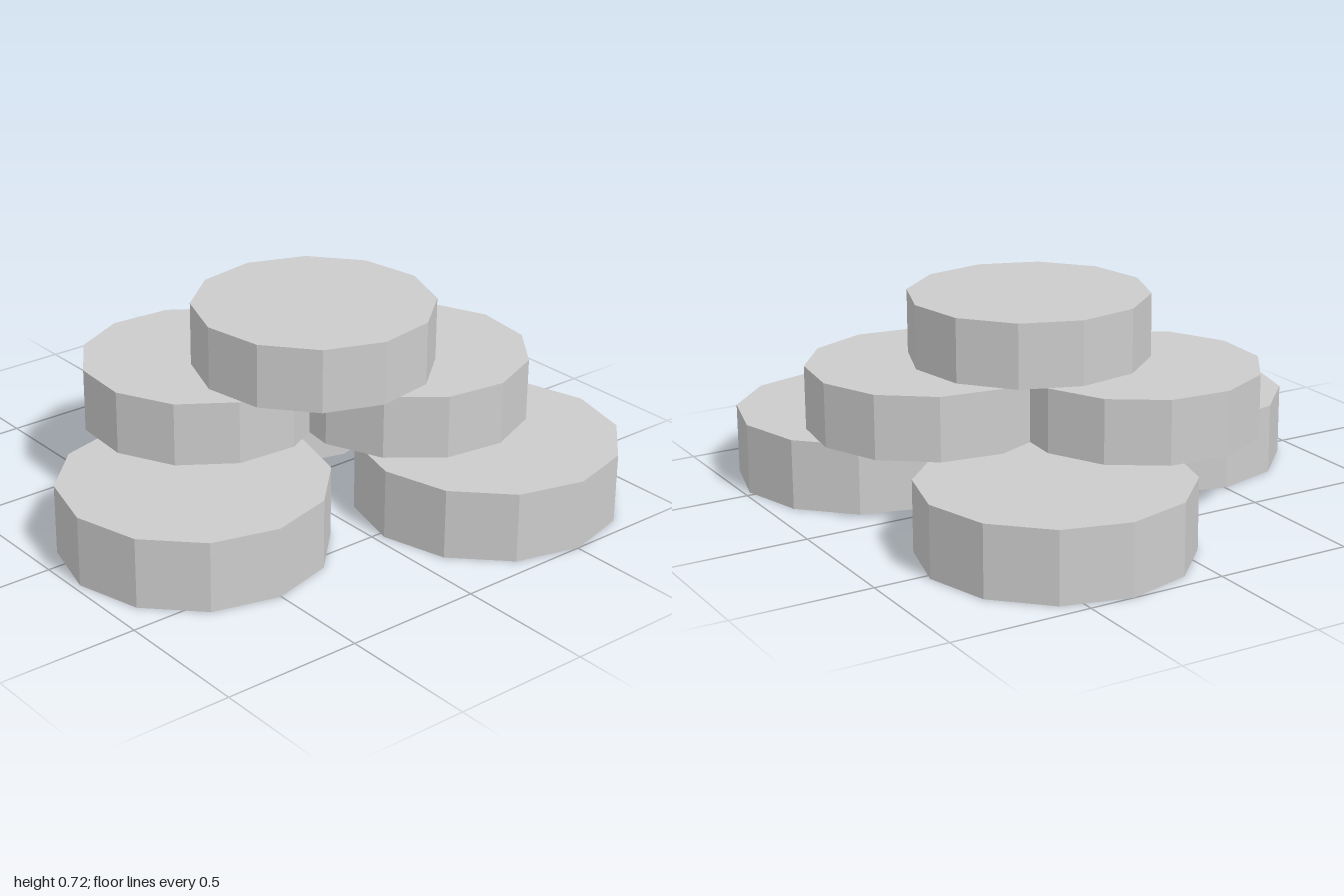
import * as THREE from 'three';

export function createModel() {
  const group = new THREE.Group();
  const material = new THREE.MeshStandardMaterial({ color: 0xcccccc, flatShading: true });

  // One twelve-sided disc, standing on height y and turned by some degrees
  function addDisc(name, radius, height, x, y, z, turn) {
    const disc = new THREE.Mesh(new THREE.CylinderGeometry(radius, radius, height, 12), material);
    disc.name = name;
    disc.position.set(x, y + height / 2, z);
    disc.rotation.y = -THREE.MathUtils.degToRad(turn);
    group.add(disc);
  }

  // Bottom layer: three wide discs
  addDisc('bottomDiscFront', 0.473, 0.254, 0.153, 0, 0.503, 0);
  addDisc('bottomDiscRight', 0.473, 0.254, -0.527, 0, -0.34, 0);
  addDisc('bottomDiscLeft', 0.473, 0.254, 0.527, 0, -0.506, 0);

  // Middle layer: two overlapping discs
  addDisc('middleDiscFront', 0.432, 0.23, -0.228, 0.261, 0.185, 19);
  addDisc('middleDiscBack', 0.432, 0.23, 0.192, 0.261, -0.428, -7.3);

  // Top disc
  addDisc('topDisc', 0.432, 0.23, 0.073, 0.493, -0.085, 5.3);

  return group;
}
